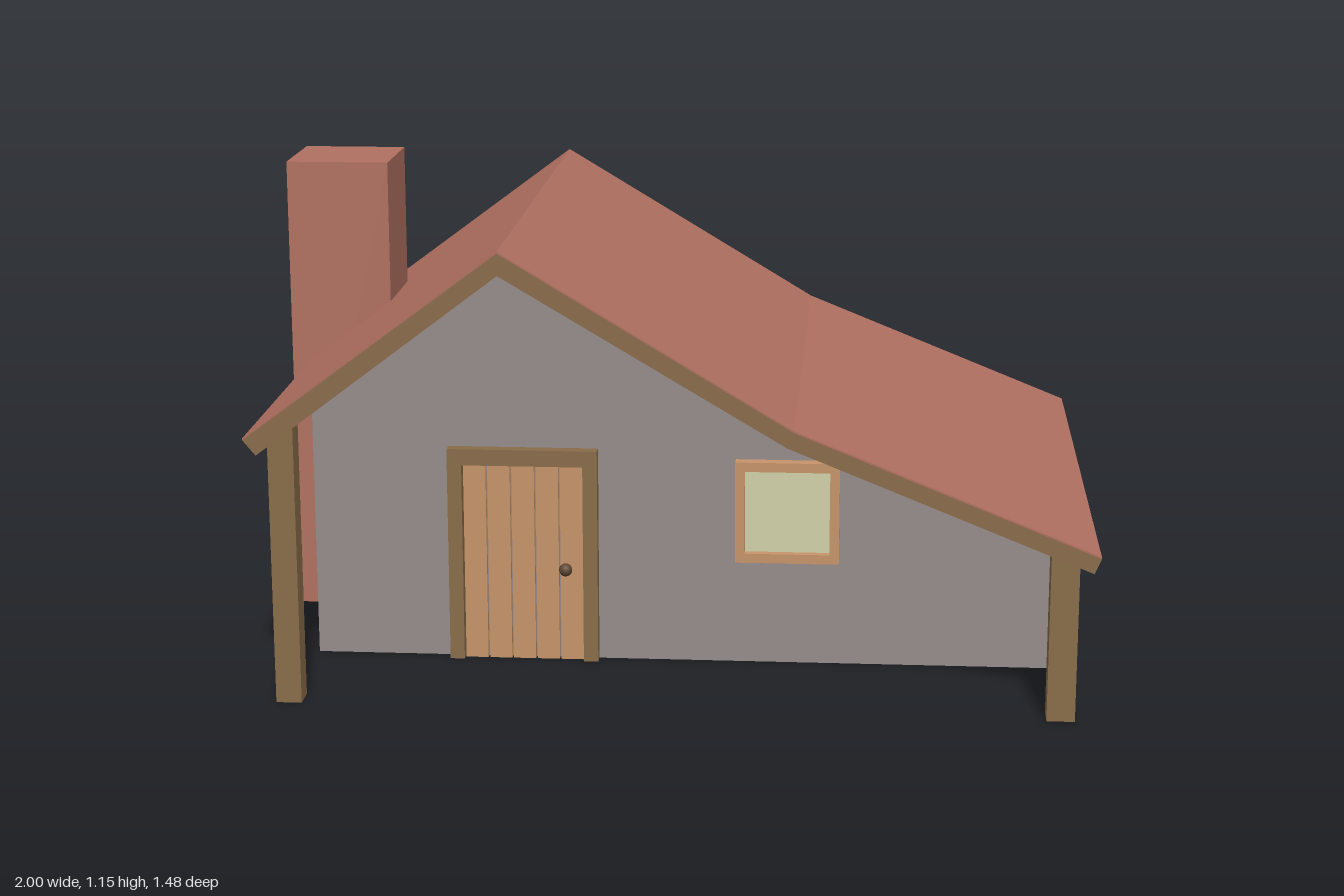
import * as THREE from 'three';

const mat = (name, color, side = THREE.FrontSide) => {
  const m = new THREE.MeshStandardMaterial({ color, side });
  m.name = name;
  return m;
};

export function createModel() {
  const model = new THREE.Group();
  model.name = 'cottage';
  const red = mat('redBrick', 0xb07060, THREE.DoubleSide);
  const grey = mat('greyWall', 0x948c8a, THREE.DoubleSide);
  const brown = mat('brownTimber', 0x896c4a);
  const tan = mat('tanWood', 0xc6946a);
  const glass = mat('paleGlass', 0xd0d0a8);
  const dark = mat('darkKnob', 0x5e4632);

  const add = (name, geometry, material, parent = model) => {
    const m = new THREE.Mesh(geometry, material);
    m.name = name;
    parent.add(m);
    return m;
  };
  // Box given by its minimum and maximum corners
  const box = (x0, x1, y0, y1, z0, z1) =>
    new THREE.BoxGeometry(x1 - x0, y1 - y0, z1 - z0)
      .translate((x0 + x1) / 2, (y0 + y1) / 2, (z0 + z1) / 2);
  const shapeOf = (pts) => new THREE.Shape(pts.map(([x, y]) => new THREE.Vector2(x, y)));
  const extrude = (shape, z0, z1) =>
    new THREE.ExtrudeGeometry(shape, { depth: z1 - z0, bevelEnabled: false }).translate(0, 0, z0);
  // Strip between an upper and a lower profile, extruded along z
  const band = (upper, lower, z0, z1) => extrude(shapeOf([...lower, ...[...upper].reverse()]), z0, z1);
  const lift = (pts, d) => pts.map(([x, y]) => [x, y + d]);

  // Roof: timber slab with a thin red covering and a red lining inside the house
  const outer = [[-0.955, 0.645], [-0.365, 1.085], [0.3, 0.685], [0.995, 0.405]];
  const inner = [[-0.925, 0.605], [-0.365, 1.03], [0.285, 0.645], [0.98, 0.365]];
  const front = 0.345, back = -0.675, left = -0.875, right = 0.915;
  add('roofSlab', band(lift(outer, -0.004), inner, -0.74, 0.74), brown);
  add('roofCovering', band(outer, lift(outer, -0.004), -0.74, 0.74), red);
  const lining = [[left, 0.643], [-0.365, 1.029], [0.285, 0.644], [right, 0.391]];
  add('roofLining', band(lining, lift(lining, -0.004), back, front), red);

  // Walls: thin, open underneath
  const gable = shapeOf([[left, 0], [right, 0], ...lift(lining, 0.01).reverse()]);
  add('frontWall', new THREE.ShapeGeometry(gable).translate(0, 0, front), grey);
  add('backWall', new THREE.ShapeGeometry(gable).rotateY(0).translate(0, 0, back), grey);
  for (const [name, x, h] of [['rightWall', left, 0.65], ['leftWall', right, 0.4]]) {
    add(name, new THREE.PlaneGeometry(front - back, h).rotateY(x > 0 ? Math.PI / 2 : -Math.PI / 2)
      .translate(x, h / 2, (front + back) / 2), grey);
  }

  // Porch posts
  add('rightPost', box(-0.905, -0.845, 0, 0.666, 0.65, 0.71), brown);
  add('leftPost', box(0.885, 0.95, 0, 0.403, 0.65, 0.71), brown);

  // Chimney, open at the bottom
  const stack = box(-1, -0.745, 0, 1.155, -0.295, -0.04);
  stack.setIndex([...stack.index.array].filter((_, i) => i < 18 || i >= 24));
  stack.clearGroups();
  add('chimney', stack, red);

  // Windows: frame set through the wall, with a pane in it
  const addWindow = (name, x, z) => {
    const g = new THREE.Group();
    g.name = name;
    g.position.set(x, 0.385, z);
    const s = shapeOf([[-0.125, -0.125], [0.125, -0.125], [0.125, 0.125], [-0.125, 0.125]]);
    s.holes.push(shapeOf([[-0.102, -0.102], [-0.102, 0.102], [0.102, 0.102], [0.102, -0.102]]));
    add('windowFrame', extrude(s, -0.03, 0.03), tan, g);
    add('windowPane', box(-0.103, 0.103, -0.103, 0.103, -0.01, 0.01), glass, g);
    model.add(g);
  };
  addWindow('frontWindow', 0.275, front);
  addWindow('backWindow', -0.49, back);

  // Door: frame, five planks and a knob
  const door = new THREE.Group();
  door.name = 'door';
  model.add(door);
  add('doorFrame', extrude(shapeOf([[-0.545, 0], [-0.51, 0], [-0.51, 0.49], [-0.217, 0.49],
    [-0.217, 0], [-0.182, 0], [-0.182, 0.53], [-0.545, 0.53]]), front - 0.03, front + 0.03), brown, door);
  const pitch = 0.293 / 5;
  for (let i = 0; i < 5; i++) {
    const x = -0.51 + i * pitch;
    add('doorPlank', box(x + 0.002, x + pitch - 0.002, 0, 0.49, front + 0.001, front + 0.015), tan, door);
  }
  add('doorKnob', new THREE.SphereGeometry(0.016, 16, 12), dark, door).position.set(-0.26, 0.232, front + 0.028);

  return model;
}
